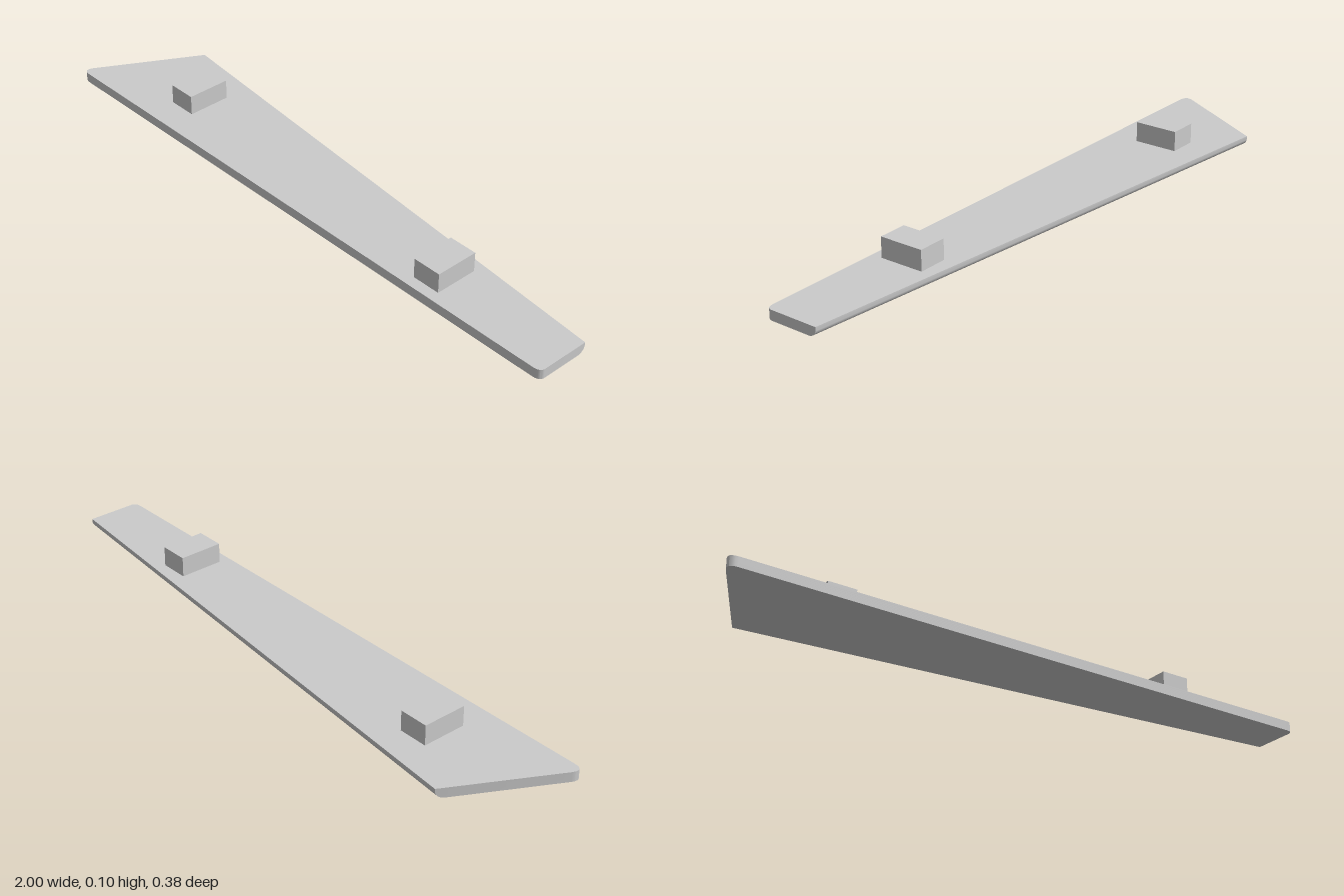
import * as THREE from 'three';
import { toCreasedNormals, mergeGeometries } from 'three/addons/utils/BufferGeometryUtils.js';

const THICK = 0.032, FILLET = 0.025, STEPS = 8;

// Plate outline as [x, z]; inset slides the back edge forward along both ends
function outline(inset) {
  const bend = (a, c, b) => new THREE.QuadraticBezierCurve(
    new THREE.Vector2(...a), new THREE.Vector2(...c), new THREE.Vector2(...b)).getPoints(6);
  return [
    new THREE.Vector2(-0.85 - inset * 0.43, -0.183 + inset),
    ...bend([-0.997, 0.16], [-1.012, 0.196], [-0.972, 0.192]),
    ...bend([0.975, -0.012], [1.003, -0.015], [0.998, -0.04]),
    new THREE.Vector2(0.983 + inset * 0.1, -0.192 + inset),
  ];
}

function geometryFrom(positions, index) {
  const g = new THREE.BufferGeometry();
  g.setAttribute('position', new THREE.Float32BufferAttribute(positions, 3));
  g.setIndex(index);
  return g.toNonIndexed();
}

function plateGeometry() {
  // Layers from the underside up, following the rounded lower back edge
  const layers = [];
  for (let s = 0; s <= STEPS; s++) {
    const a = (s / STEPS) * Math.PI / 2;
    layers.push({ y: FILLET * (1 - Math.cos(a)), inset: FILLET * (1 - Math.sin(a)) });
  }
  layers.push({ y: THICK, inset: 0 });

  const positions = [], walls = [], caps = [];
  const n = outline(0).length, top = (layers.length - 1) * n;
  for (const { y, inset } of layers) {
    for (const p of outline(inset)) positions.push(p.x, y, p.y);
  }
  for (let l = 0; l < layers.length - 1; l++) {
    for (let i = 0; i < n; i++) {
      const a = l * n + i, b = l * n + (i + 1) % n;
      walls.push(a, b, b + n, a, b + n, a + n);
    }
  }
  for (let i = 1; i < n - 1; i++) {
    caps.push(top, top + i, top + i + 1, 0, i + 1, i);
  }
  const capGeometry = geometryFrom(positions, caps);
  capGeometry.computeVertexNormals();
  return mergeGeometries([toCreasedNormals(geometryFrom(positions, walls), 0.5), capGeometry]);
}

export function createModel() {
  const model = new THREE.Group();
  const material = new THREE.MeshStandardMaterial({ color: 0xcccccc });

  // Tapered plate
  const plate = new THREE.Mesh(plateGeometry(), material);
  plate.name = 'plate';
  model.add(plate);

  // Two mounting blocks, square to the slanted front edge
  const block = new THREE.BoxGeometry(0.095, 0.065, 0.145);
  for (const [name, x, z] of [['rightBlock', -0.626, -0.017], ['leftBlock', 0.534, -0.075]]) {
    const mesh = new THREE.Mesh(block, material);
    mesh.name = name;
    mesh.position.set(x, THICK + 0.0325, z);
    mesh.rotation.y = THREE.MathUtils.degToRad(6);
    model.add(mesh);
  }
  return model;
}
